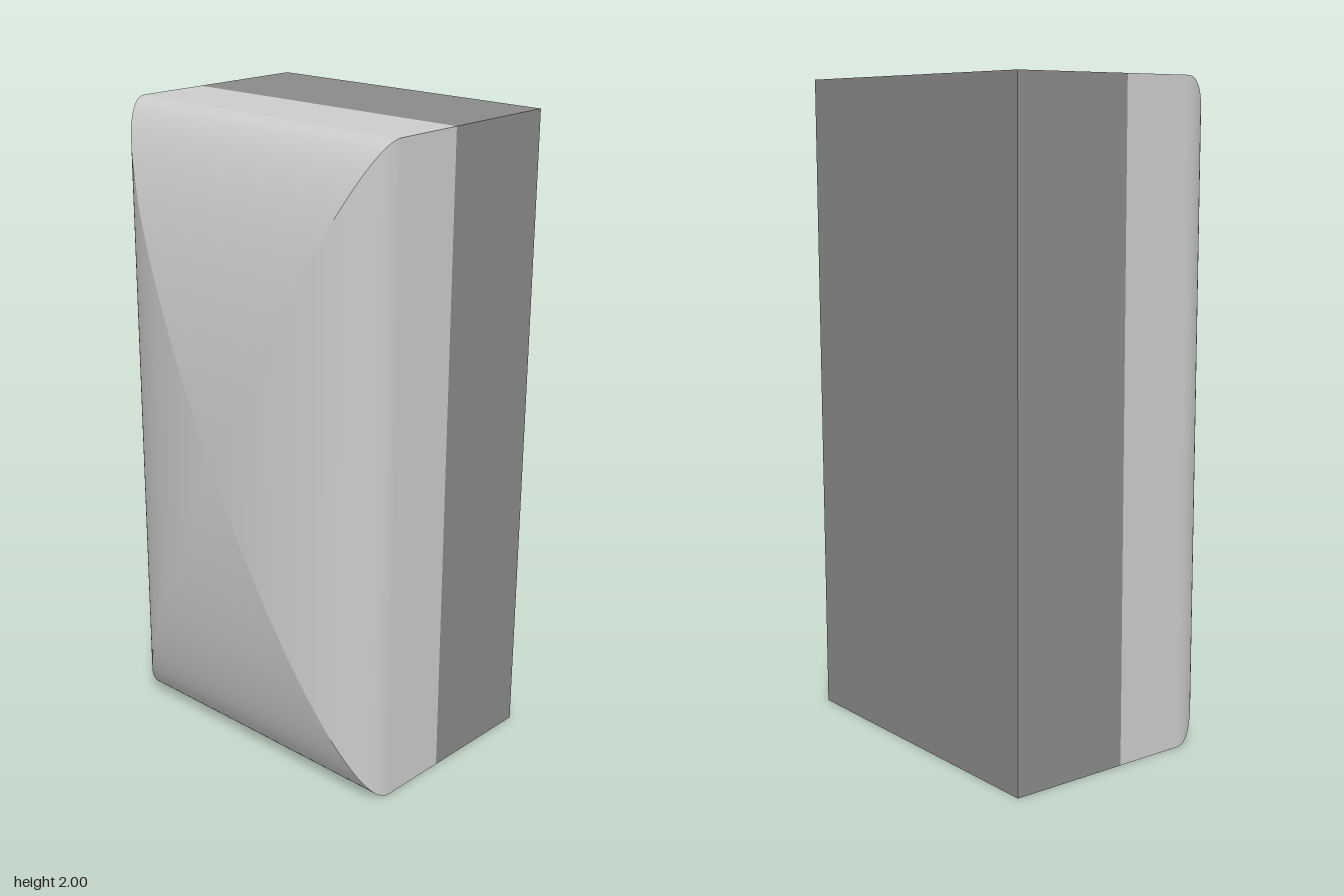
import * as THREE from 'three';

const HALF_W = 0.505, HALF_H = 1;
const BACK = -0.424, SEAM = -0.04, SHOULDER = 0.19, FRONT = 0.424;
const STEPS = 40;

// One of four panels: a straight wall that rolls over a quarter ellipse to the front centre.
function panelGeometry(outX, outY) {
  const reach = outX ? HALF_W : HALF_H;
  const bulge = FRONT - SHOULDER;
  const rows = [{ t: 0, z: SEAM }];
  for (let i = 0; i <= STEPS; i++) {
    const t = (i / STEPS) * Math.PI / 2;
    rows.push({ t, z: SHOULDER + bulge * Math.sin(t) });
  }
  const positions = [], normals = [], indices = [];
  rows.forEach(({ t, z }, row) => {
    const c = Math.cos(t);
    const n = new THREE.Vector2(c / reach, Math.sin(t) / bulge).normalize();
    for (const s of [-1, 1]) {
      // the tangent runs counter-clockwise seen from the front
      const x = outX ? outX : -outY * s;
      const y = outX ? outX * s : outY;
      positions.push(x * c * HALF_W, HALF_H + y * c * HALF_H, z);
      normals.push(outX * n.x, outY * n.x, n.y);
    }
    if (row === 0) return;
    const a = 2 * row - 2;
    indices.push(a, a + 1, a + 2);
    if (row < rows.length - 1) indices.push(a + 1, a + 3, a + 2);
  });
  const geometry = new THREE.BufferGeometry();
  geometry.setAttribute('position', new THREE.Float32BufferAttribute(positions, 3));
  geometry.setAttribute('normal', new THREE.Float32BufferAttribute(normals, 3));
  geometry.setIndex(indices);
  return geometry;
}

export function createModel() {
  const model = new THREE.Group();
  model.name = 'domedBlock';

  // Dark rear block
  const rear = new THREE.Mesh(
    new THREE.BoxGeometry(2 * HALF_W, 2 * HALF_H, SEAM - BACK),
    new THREE.MeshStandardMaterial({ color: 0x8a8a8a })
  );
  rear.name = 'rearBlock';
  rear.position.set(0, HALF_H, (BACK + SEAM) / 2);
  model.add(rear);

  // Light front cushion, mitred along its diagonals
  const light = new THREE.MeshStandardMaterial({ color: 0xcccccc, side: THREE.DoubleSide });
  const cushion = new THREE.Group();
  cushion.name = 'frontCushion';
  const panels = { leftPanel: [1, 0], topPanel: [0, 1], rightPanel: [-1, 0], bottomPanel: [0, -1] };
  for (const [name, [x, y]] of Object.entries(panels)) {
    const panel = new THREE.Mesh(panelGeometry(x, y), light);
    panel.name = name;
    cushion.add(panel);
  }
  model.add(cushion);
  return model;
}
